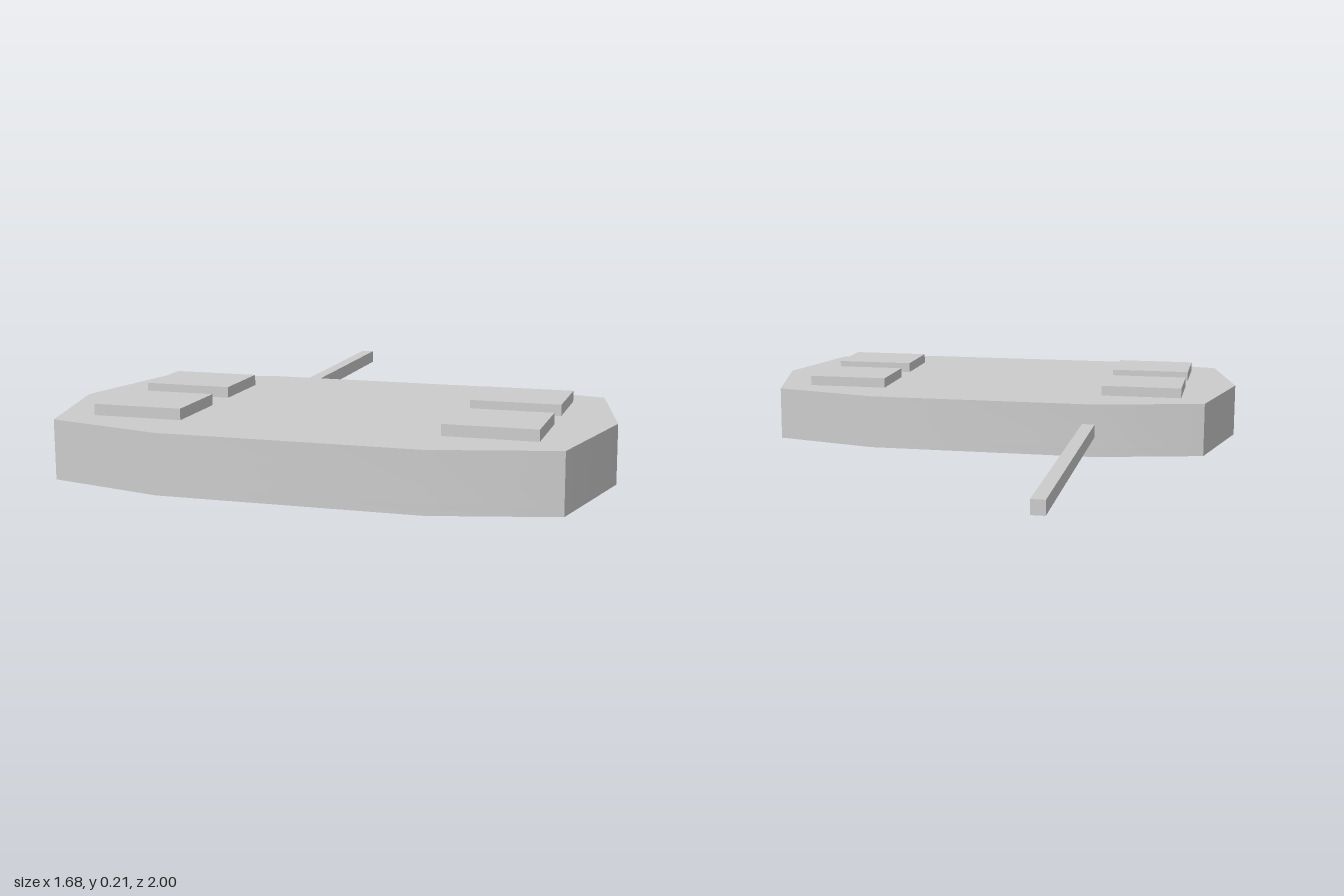
import * as THREE from 'three';
import { toCreasedNormals } from 'three/addons/utils/BufferGeometryUtils.js';

const material = new THREE.MeshStandardMaterial({ color: 0xcccccc });

// Half outline of the body as [x, z]; the other half is mirrored in x
const HALF = [[0.39, 0.04], [0.75, 0.13], [0.84, 0.52], [0.75, 0.91], [0.39, 1.0]];
const POCKET = { x0: 0.39, x1: 0.66, z0: 0.55, z1: 0.81, depth: 0.03 };
const BODY_TOP = 0.18;

function outline() {
  const mirrored = HALF.map(([x, z]) => [-x, z]).reverse();
  return new THREE.Shape([...HALF, ...mirrored].map(([x, z]) => new THREE.Vector2(x, z)));
}

// Horizontal slab between two heights, with softly blended side facets
function slab(name, shape, bottom, top) {
  const extruded = new THREE.ExtrudeGeometry(shape, { depth: top - bottom, bevelEnabled: false });
  extruded.rotateX(Math.PI / 2).translate(0, top, 0);
  const mesh = new THREE.Mesh(toCreasedNormals(extruded, 0.7), material);
  mesh.name = name;
  return mesh;
}

// Box given by its extents
function box(name, x0, x1, y0, y1, z0, z1) {
  const mesh = new THREE.Mesh(new THREE.BoxGeometry(x1 - x0, y1 - y0, z1 - z0), material);
  mesh.position.set((x0 + x1) / 2, (y0 + y1) / 2, (z0 + z1) / 2);
  mesh.name = name;
  return mesh;
}

export function createModel() {
  const model = new THREE.Group();
  model.name = 'hatchBodyWithRod';

  // Body: solid upper slab over a thin base with a shallow square pocket underneath
  const body = new THREE.Group();
  body.name = 'body';
  const base = outline();
  const { x0, x1, z0, z1, depth } = POCKET;
  base.holes.push(new THREE.Path([[x0, z0], [x0, z1], [x1, z1], [x1, z0]]
    .map(([x, z]) => new THREE.Vector2(x, z))));
  body.add(slab('bodyUpper', outline(), depth, BODY_TOP), slab('bodyBase', base, 0, depth));
  model.add(body);

  // Four raised pads, two on each side
  for (const side of [-1, 1]) {
    for (const [place, near, far] of [['Back', 0.22, 0.455], ['Front', 0.58, 0.82]]) {
      const name = (side > 0 ? 'left' : 'right') + place + 'Pad';
      const pad = box(name, 0.39, 0.665, BODY_TOP, 0.214, near, far);
      pad.position.x *= side;
      model.add(pad);
    }
  }

  // Long square rod out of the back
  model.add(box('rod', -0.39, -0.347, 0.068, 0.112, -1, 0.045));

  return model;
}
